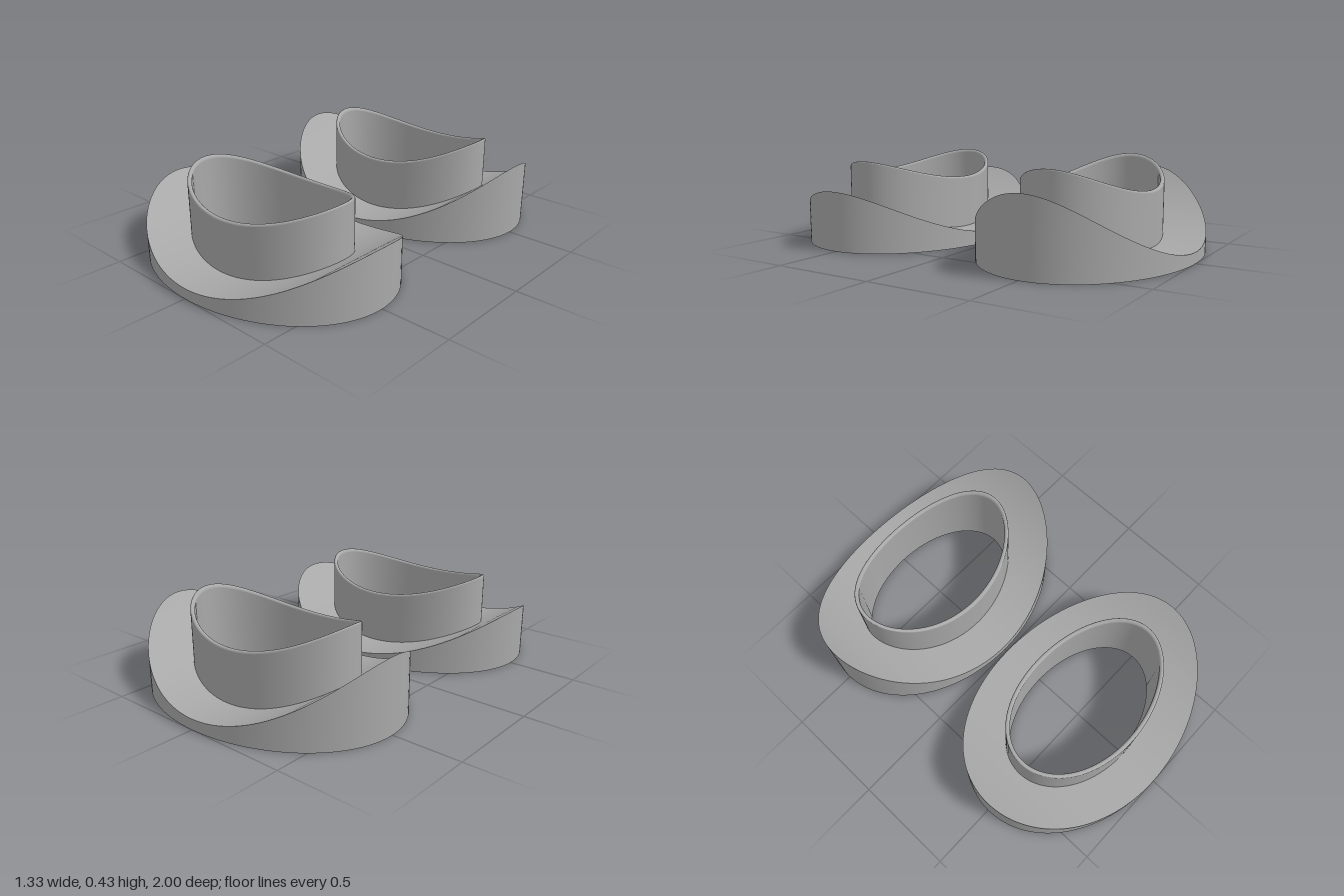
import * as THREE from 'three';

const SEG = 128;

// Closed loft through elliptical rings; each ring is [semi-axis x, semi-axis z, height(x)].
// Rings run up the outside, inward over the top and down the inside.
function loft(name, rings, material) {
  const pos = [], index = [];
  for (const [a, b, height] of rings) {
    for (let j = 0; j < SEG; j++) {
      const t = (j / SEG) * Math.PI * 2;
      const x = a * Math.cos(t);
      pos.push(x, height(x), b * Math.sin(t));
    }
  }
  for (let i = 0; i < rings.length - 1; i++) {
    for (let j = 0; j < SEG; j++) {
      const k = (j + 1) % SEG;
      const p = i * SEG + j, q = i * SEG + k;
      index.push(p, p + SEG, q, q, p + SEG, q + SEG);
    }
  }
  const geo = new THREE.BufferGeometry();
  geo.setAttribute('position', new THREE.Float32BufferAttribute(pos, 3));
  geo.setIndex(index);
  geo.computeVertexNormals();
  const mesh = new THREE.Mesh(geo, material);
  mesh.name = name;
  return mesh;
}

// Oval collar whose flange and neck tops follow a cylinder of the given radius
function makeCollar(name, radius, material) {
  const group = new THREE.Group();
  group.name = name;
  const saddle = (y0) => (x) => y0 + radius - Math.sqrt(radius * radius - x * x);
  const floor = () => 0;
  const outer = [0.667, 0.493], neck = [0.45, 0.297], hole = [0.43, 0.275];
  const flangeTop = saddle(0.052), lipBase = saddle(0.3);

  // Curved flange surface, in several steps so it follows the saddle
  const topRings = [];
  for (let i = 0; i <= 12; i++) {
    const f = i / 12;
    topRings.push([
      THREE.MathUtils.lerp(outer[0], neck[0], f),
      THREE.MathUtils.lerp(outer[1], neck[1], f),
      flangeTop,
    ]);
  }

  // Rounded rim of the neck
  const lipRings = [];
  for (let i = 0; i <= 10; i++) {
    const t = (i / 10) * Math.PI;
    lipRings.push([
      0.44 + 0.01 * Math.cos(t),
      0.286 + 0.011 * Math.cos(t),
      saddle(0.3 + 0.01 * Math.sin(t)),
    ]);
  }

  group.add(
    loft('flangeWall', [[...outer, floor], [...outer, flangeTop]], material),
    loft('flangeTop', topRings, material),
    loft('neckWall', [[...neck, flangeTop], [...neck, lipBase]], material),
    loft('neckRim', lipRings, material),
    loft('boreWall', [[...hole, lipBase], [...hole, floor]], material),
    loft('underside', [[...hole, floor], [...outer, floor]], material),
  );
  return group;
}

export function createModel() {
  const model = new THREE.Group();
  model.name = 'saddleCollars';
  const grey = new THREE.MeshStandardMaterial({ color: 0xa8a8a8 });
  grey.name = 'grey';

  // The rear collar fits a tighter cylinder than the front one
  const front = makeCollar('frontCollar', 1.082, grey);
  front.position.z = 0.507;
  const rear = makeCollar('rearCollar', 0.891, grey);
  rear.position.z = -0.507;
  model.add(front, rear);
  return model;
}
